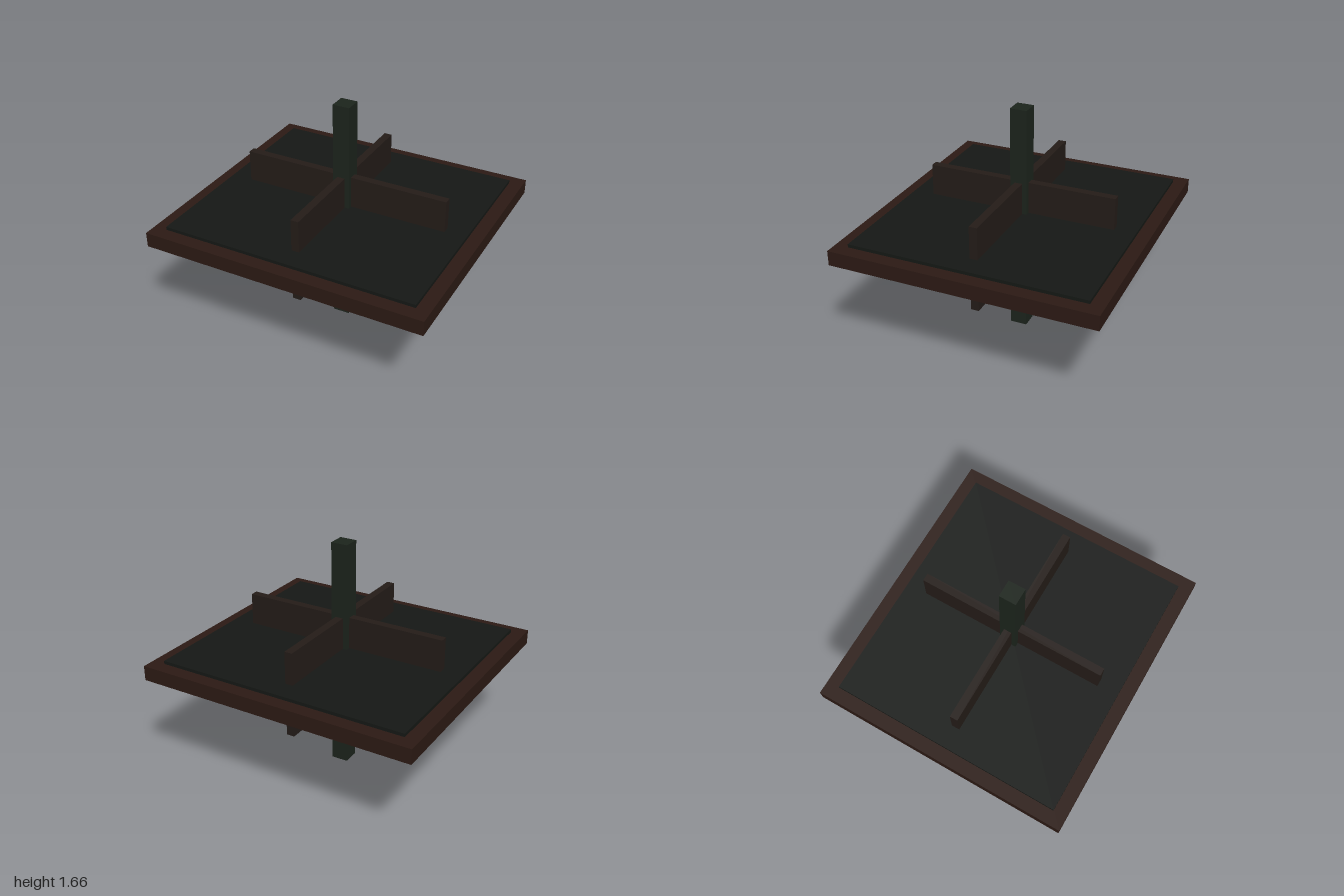
import * as THREE from 'three';

export function createModel() {
  const model = new THREE.Group();
  const midY = 0.83; // every part is centred on the slab's mid-height

  const material = (color) => new THREE.MeshStandardMaterial({ color });
  const wood = material(0x2c1a14);
  const slate = material(0x151815);
  const finWood = material(0x241c18);
  const darkGreen = material(0x1c241c);

  const addBox = (name, width, height, depth, mat) => {
    const mesh = new THREE.Mesh(new THREE.BoxGeometry(width, height, depth), mat);
    mesh.name = name;
    mesh.position.y = midY;
    model.add(mesh);
  };

  // Horizontal slab: wooden border with a slightly thicker inset panel
  addBox('borderSlab', 2, 0.105, 1.85, wood);
  addBox('insetPanel', 1.81, 0.15, 1.66, slate);

  // Crossed upright fins passing through the slab
  addBox('sideToSideFin', 1.505, 0.605, 0.056, finWood);
  addBox('frontToBackFin', 0.056, 0.605, 1.36, finWood);

  // Central square post
  addBox('centrePost', 0.12, 1.66, 0.12, darkGreen);

  return model;
}
